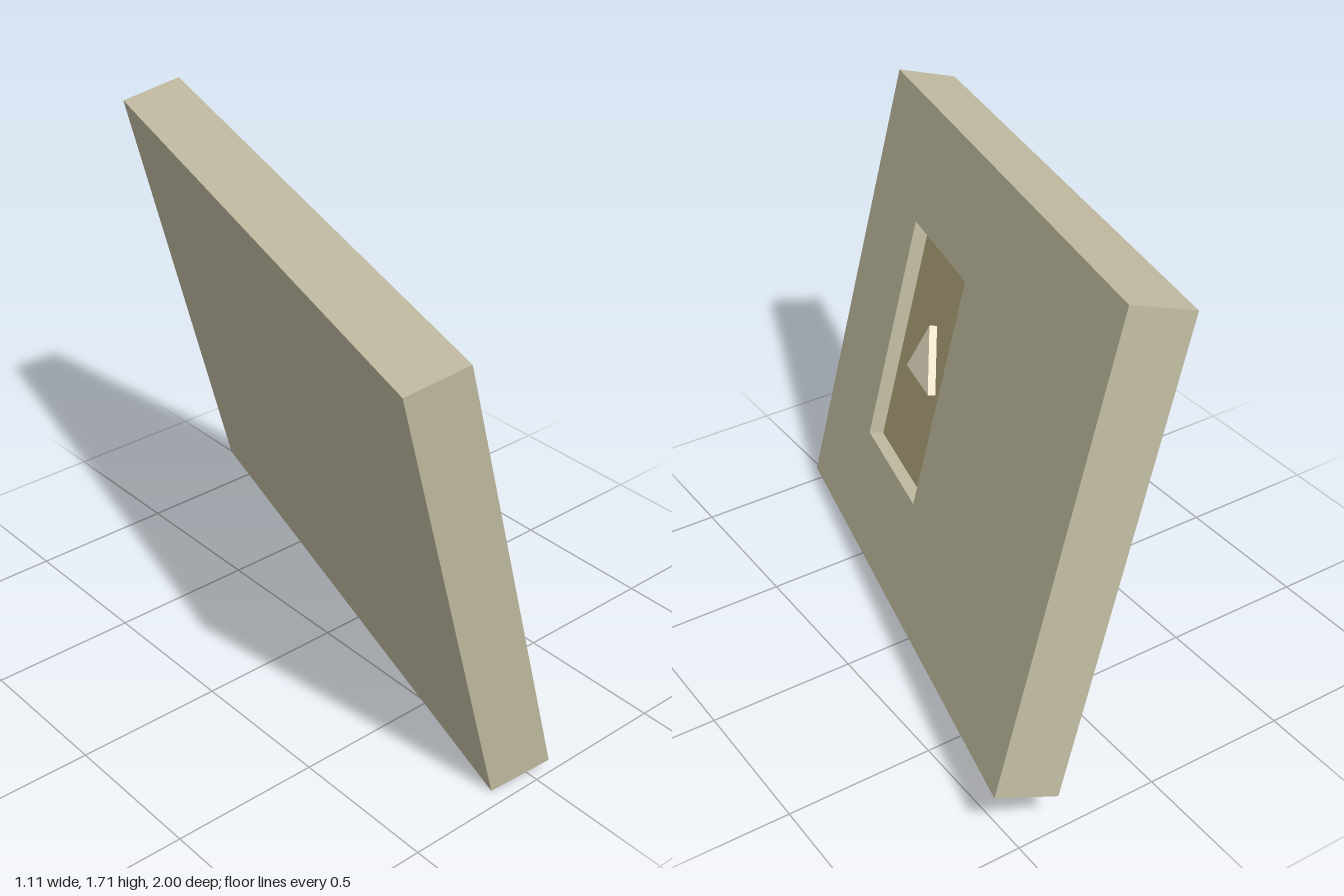
import * as THREE from 'three';

const HEIGHT = 1.58, LENGTH = 2.015, THICK = 0.207, RECESS = 0.053;
const HOLE = { z: 0.301, w: 0.512, h: 0.802 };

function rectangle(path, cx, w, h) {
  path.moveTo(cx - w / 2, -h / 2);
  path.lineTo(cx + w / 2, -h / 2);
  path.lineTo(cx + w / 2, h / 2);
  path.lineTo(cx - w / 2, h / 2);
  path.closePath();
  return path;
}

export function createModel() {
  const group = new THREE.Group();
  group.name = 'tiltedPanel';

  const add = (name, geometry, color, x = 0, z = 0) => {
    const material = new THREE.MeshStandardMaterial({ color, flatShading: true });
    const mesh = new THREE.Mesh(geometry, material);
    mesh.name = name;
    mesh.position.set(x, 0, z);
    group.add(mesh);
  };
  const faceX = THICK / 2;
  const floorX = faceX - RECESS;

  // Solid rear of the slab
  const rear = THICK - RECESS;
  add('slabBack', new THREE.BoxGeometry(rear, HEIGHT, LENGTH), 0xc0bba0, -faceX + rear / 2);

  // Face layer with the rectangular window cut through it
  const face = rectangle(new THREE.Shape(), 0, LENGTH, HEIGHT);
  face.holes.push(rectangle(new THREE.Path(), -HOLE.z, HOLE.w, HOLE.h));
  const layer = new THREE.ExtrudeGeometry(face, { depth: RECESS, bevelEnabled: false });
  layer.rotateY(Math.PI / 2);
  add('slabFace', layer, 0xc0bba0, floorX);

  // Coloured floor of the recess
  add('recessFloor', new THREE.BoxGeometry(0.004, HOLE.h, HOLE.w), 0xada277, floorX, HOLE.z);

  // Raised triangle, pointing up
  const triangle = new THREE.CylinderGeometry(0.134, 0.134, 0.03, 3);
  triangle.rotateZ(-Math.PI / 2).rotateX(-Math.PI / 2);
  add('triangle', triangle, 0xf2e8cd, floorX + 0.014, HOLE.z);

  // Turn about the vertical, then lean sideways
  const tilt = Math.PI / 12;
  group.rotation.set(0, -tilt, tilt, 'ZYX');
  group.position.y = 0.857;

  const model = new THREE.Group();
  model.name = 'model';
  model.add(group);
  return model;
}
